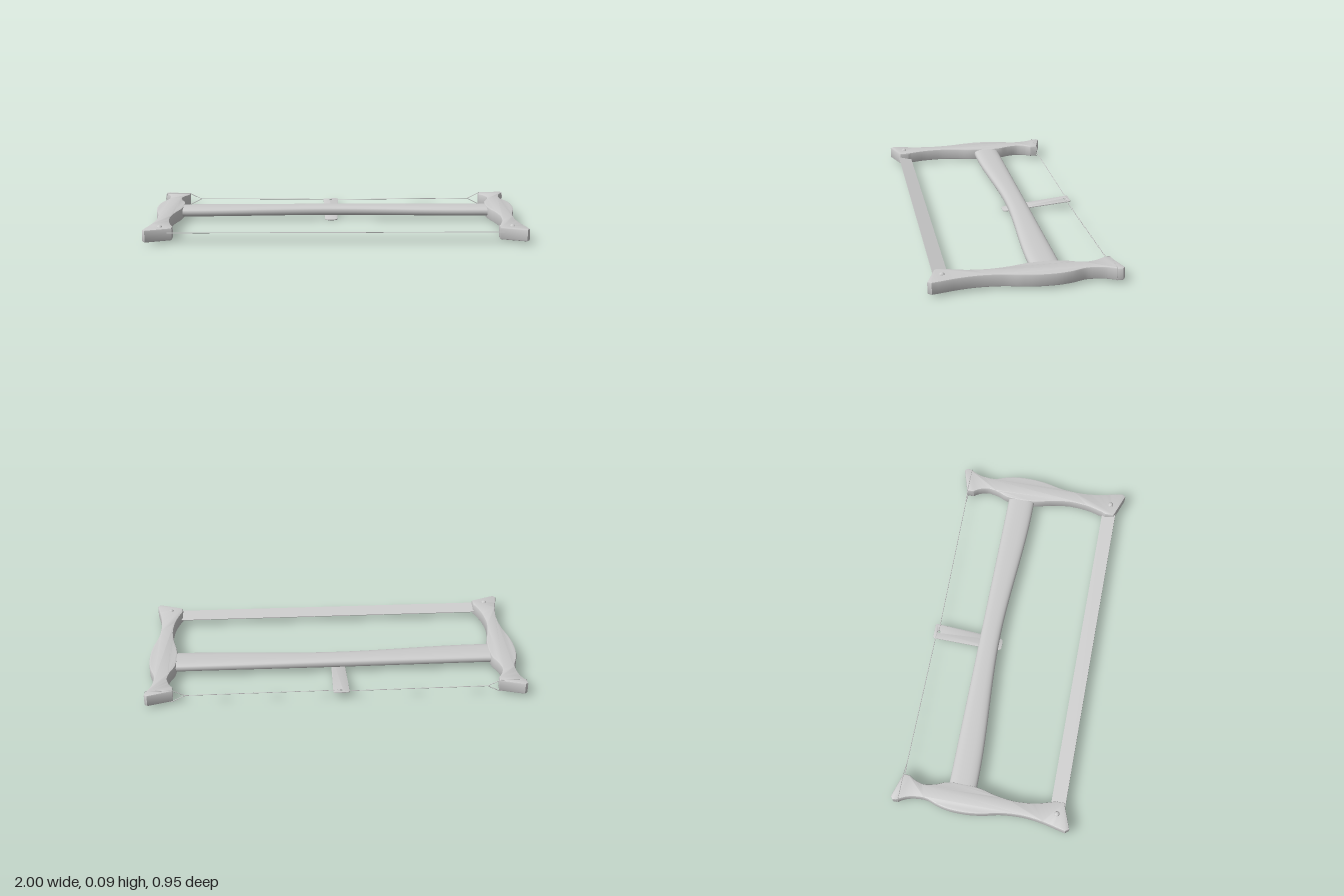
import * as THREE from 'three';
import { toCreasedNormals } from 'three/addons/utils/BufferGeometryUtils.js';

const MID = 0.047; // mid height of the frame
const material = new THREE.MeshStandardMaterial({ color: 0xcccccc, side: THREE.DoubleSide });

function add(parent, name, geometry) {
  const mesh = new THREE.Mesh(geometry, material);
  mesh.name = name;
  parent.add(mesh);
  return mesh;
}

// Extrudes an outline drawn in x/z into a slab centred on y = 0
function slab(shape, thickness, bevel) {
  const g = new THREE.ExtrudeGeometry(shape, {
    depth: thickness - 2 * bevel, curveSegments: 10, bevelEnabled: true,
    bevelThickness: bevel, bevelSize: bevel, bevelOffset: -bevel, bevelSegments: 2,
  });
  g.translate(0, 0, -(thickness - 2 * bevel) / 2);
  g.rotateX(Math.PI / 2);
  return toCreasedNormals(g, 0.6);
}

// Shaped side arm: waisted above and below a wide middle, flared slanted ends
function armShape(s) {
  const inner = [[0.855, -0.40], [0.876, -0.365], [0.888, -0.315], [0.876, -0.255], [0.855, -0.2],
    [0.849, -0.12], [0.855, -0.03], [0.876, 0.06], [0.888, 0.14], [0.889, 0.2], [0.88, 0.28], [0.858, 0.36]];
  const outer = [[0.99, 0.42], [0.968, 0.32], [0.958, 0.22], [0.965, 0.11], [0.985, 0.02], [0.996, -0.06],
    [0.996, -0.15], [0.984, -0.22], [0.962, -0.285], [0.96, -0.335], [0.97, -0.39], [0.996, -0.445]];
  const v = ([x, z]) => new THREE.Vector2(s * x, z);
  const shape = new THREE.Shape();
  shape.moveTo(s * 0.853, -0.437);
  shape.lineTo(...v(inner[0]).toArray());
  shape.splineThru(inner.slice(1).map(v));
  shape.lineTo(s * 0.85, 0.375);
  shape.lineTo(s * 0.85, 0.425);
  shape.lineTo(s * 0.982, 0.474);
  shape.lineTo(s * 0.997, 0.455);
  shape.lineTo(...v(outer[0]).toArray());
  shape.splineThru(outer.slice(1).map(v));
  shape.lineTo(s * 0.997, -0.465);
  shape.lineTo(s * 0.982, -0.477);
  return shape;
}

// Rounded crossbar whose front edge curves in towards the centre
function crossbarGeometry() {
  const NX = 32, NA = 28, pos = [], idx = [];
  const pw = (t, e) => Math.sign(t) * Math.abs(t) ** e;
  for (let i = 0; i <= NX; i++) {
    const x = -0.88 + (1.76 * i) / NX;
    const t = Math.min(1, Math.abs(x) / 0.8);
    const back = -0.19, front = -0.08 + 0.038 * t * t * (3 - 2 * t);
    for (let j = 0; j < NA; j++) {
      const a = (j / NA) * Math.PI * 2;
      pos.push(x, 0.05 + 0.028 * pw(Math.sin(a), 0.75),
        (back + front) / 2 + ((front - back) / 2) * pw(Math.cos(a), 0.75));
      if (i < NX) {
        const p = i * NA + j, q = i * NA + ((j + 1) % NA);
        idx.push(p, p + NA, q, q, p + NA, q + NA);
      }
    }
  }
  const g = new THREE.BufferGeometry();
  g.setAttribute('position', new THREE.Float32BufferAttribute(pos, 3));
  g.setIndex(idx);
  g.computeVertexNormals();
  return g;
}

// Flat tension paddle with a cord hole
function toggleShape() {
  const s = new THREE.Shape();
  s.moveTo(-0.033, -0.45);
  s.lineTo(0.033, -0.45);
  s.quadraticCurveTo(0.044, -0.45, 0.043, -0.435);
  s.lineTo(0.036, -0.09);
  s.quadraticCurveTo(0.034, -0.065, 0.015, -0.065);
  s.lineTo(-0.015, -0.065);
  s.quadraticCurveTo(-0.034, -0.065, -0.036, -0.09);
  s.lineTo(-0.043, -0.435);
  s.quadraticCurveTo(-0.044, -0.45, -0.033, -0.45);
  const hole = new THREE.Path();
  hole.absarc(0, -0.424, 0.008, 0, Math.PI * 2, true);
  s.holes.push(hole);
  return s;
}

// Straight-run cord through the given points
function cord(parent, name, points) {
  const path = new THREE.CurvePath();
  const v = points.map((p) => new THREE.Vector3(...p));
  for (let i = 1; i < v.length; i++) path.add(new THREE.LineCurve3(v[i - 1], v[i]));
  add(parent, name, new THREE.TubeGeometry(path, 60, 0.002, 6));
}

export function createModel() {
  const root = new THREE.Group();
  root.name = 'frameSaw';

  for (const s of [1, -1]) {
    const side = new THREE.Group();
    side.name = s > 0 ? 'leftSide' : 'rightSide';
    root.add(side);
    add(side, 'arm', slab(armShape(s), 0.066, 0.007)).position.y = MID;

    // Domed pin holding the blade, showing above and below the arm
    const pin = [[0, -0.044], [0.008, -0.041], [0.014, -0.034], [0.014, 0.034], [0.008, 0.041], [0, 0.044]]
      .map(([r, y]) => new THREE.Vector2(r, y));
    add(side, 'bladePin', toCreasedNormals(new THREE.LatheGeometry(pin, 18), 0.8))
      .position.set(s * 0.915, MID, 0.397);

    // Cord looped around the arm tip, closing to a point inside the frame
    cord(side, 'cordLoop', [[s * 0.79, MID, -0.435], [s * 0.857, 0.081, -0.436], [s * 0.993, 0.081, -0.436],
      [s * 0.998, MID, -0.436], [s * 0.993, 0.013, -0.436], [s * 0.857, 0.013, -0.436], [s * 0.79, MID, -0.435]]);
    cord(side, 'tensionCord', [[s * 0.79, MID, -0.435], [-0.022, 0.043, s > 0 ? -0.424 : -0.434]]);
  }

  add(root, 'crossbar', crossbarGeometry());

  // Thin blade, slightly turned about its length
  const blade = add(root, 'blade', new THREE.BoxGeometry(1.78, 0.004, 0.078));
  blade.position.set(0, MID, 0.396);
  blade.rotation.x = -0.25;

  // Paddle passing under the crossbar, rising towards the cord
  const toggle = add(root, 'toggle', slab(toggleShape(), 0.006, 0.0015));
  toggle.rotation.x = 0.1;
  toggle.position.set(-0.022, -0.002, 0);
  return root;
}
